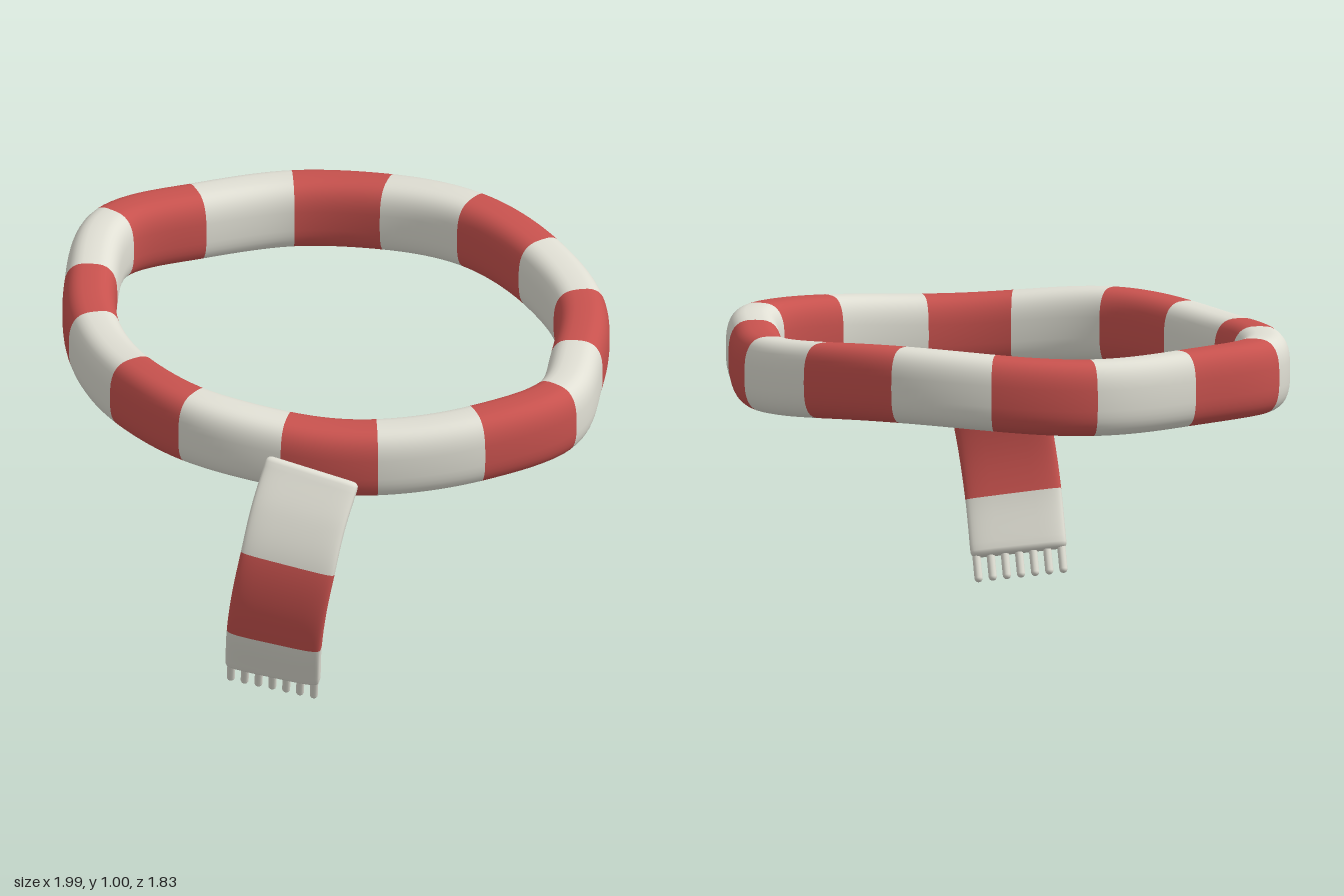
import * as THREE from 'three';

const red = new THREE.MeshStandardMaterial({ color: 0xc8524e });
red.name = 'red wool';
const cream = new THREE.MeshStandardMaterial({ color: 0xe0dfd4 });
cream.name = 'cream wool';

const V = (x, y, z) => new THREE.Vector3(x, y, z);
const UP = V(0, 1, 0);

// Superellipse cross-section swept through frames { p, s, u, a, b, mat }.
// Each frame's mat colours the band that starts there.
function sweep(frames, power, sides, closed) {
  const pos = [], index = [], geo = new THREE.BufferGeometry();
  const bend = v => Math.sign(v) * Math.abs(v) ** (2 / power);
  for (const { p, s, u, a, b } of frames) {
    for (let j = 0; j < sides; j++) {
      const phi = (j / sides) * Math.PI * 2;
      const v = p.clone()
        .addScaledVector(s, a * bend(Math.cos(phi)))
        .addScaledVector(u, b * bend(Math.sin(phi)));
      pos.push(v.x, v.y, v.z);
    }
  }
  const bands = closed ? frames.length : frames.length - 1;
  for (let i = 0; i < bands; i++) {
    const n = ((i + 1) % frames.length) * sides, m = i * sides;
    for (let j = 0; j < sides; j++) {
      const k = (j + 1) % sides;
      index.push(m + j, m + k, n + j, m + k, n + k, n + j);
    }
    geo.addGroup(i * sides * 6, sides * 6, frames[i].mat);
  }
  geo.setAttribute('position', new THREE.Float32BufferAttribute(pos, 3));
  geo.setIndex(index);
  geo.computeVertexNormals();
  return geo;
}

// Closed loop with sixteen alternating stripes, one between each pair of points
function makeLoop() {
  const plan = [
    [-0.02, -0.83], [0.305, -0.775], [0.58, -0.63], [0.775, -0.36],
    [0.902, -0.085], [0.8, 0.205], [0.585, 0.452], [0.335, 0.608],
    [0.02, 0.698], [-0.285, 0.632], [-0.58, 0.457], [-0.765, 0.245],
    [-0.91, -0.055], [-0.79, -0.345], [-0.6, -0.615], [-0.325, -0.768],
  ];
  const curve = new THREE.CatmullRomCurve3(plan.map(([x, z]) => V(x, 0, z)), true);
  const per = 12, total = plan.length * per, frames = [];
  for (let i = 0; i < total; i++) {
    const p = curve.getPoint(i / total), t = curve.getTangent(i / total);
    // gentle rise and fall around the loop
    const ang = Math.atan2(p.z, p.x);
    p.y = 0.86 + 0.013 * Math.cos(4 * ang) - 0.005 * Math.cos(2 * ang);
    const s = UP.clone().cross(t).normalize();
    frames.push({ p, s, u: UP, a: 0.088, b: 0.124, mat: Math.floor(i / per) % 2 });
  }
  const mesh = new THREE.Mesh(sweep(frames, 2.9, 40, true), [red, cream]);
  mesh.name = 'neckLoop';
  return mesh;
}

// Hanging end: flat curved strip with three bands, rounded ends and a fringe
function makeTail() {
  const group = new THREE.Group();
  group.name = 'hangingEnd';
  const curve = new THREE.CatmullRomCurve3([
    V(0.485, 0.848, 0.67), V(0.493, 0.72, 0.753), V(0.495, 0.582, 0.808),
    V(0.474, 0.43, 0.827), V(0.44, 0.275, 0.81), V(0.393, 0.11, 0.757),
  ]);
  const across = V(0.28, -0.045, -0.14).normalize();
  const halfW = 0.158, halfT = 0.028, round = 0.018, steps = 40, frames = [];
  const add = (t, out, inset, flat) => {
    const d = curve.getTangent(t);
    const s = across.clone().addScaledVector(d, -across.dot(d)).normalize();
    const u = d.clone().cross(s);
    const p = curve.getPoint(t).addScaledVector(d, out);
    const mat = t < 0.399 ? 1 : t < 0.799 ? 0 : 1;
    frames.push({ p, s, u, a: flat ? 0 : halfW - inset, b: flat ? 0 : halfT - inset, mat });
  };
  const cap = [0, 1, 2, 3].map(k => (k / 3) * Math.PI / 2);
  add(0, -round, 0, true);
  for (const q of [...cap].reverse()) add(0, -round * Math.sin(q), round * (1 - Math.cos(q)));
  for (let i = 1; i < steps; i++) add(i / steps, 0, 0);
  for (const q of cap) add(1, round * Math.sin(q), round * (1 - Math.cos(q)));
  add(1, round, 0, true);
  const strip = new THREE.Mesh(sweep(frames, 4.5, 40, false), [red, cream]);
  strip.name = 'strip';
  group.add(strip);

  // Seven tassels along the bottom edge
  const dir = curve.getTangent(1), base = curve.getPoint(1);
  const side = across.clone().addScaledVector(dir, -across.dot(dir)).normalize();
  const tassel = new THREE.CapsuleGeometry(0.0135, 0.085, 5, 12);
  for (let i = -3; i <= 3; i++) {
    const m = new THREE.Mesh(tassel, cream);
    m.name = 'tassel';
    m.position.copy(base).addScaledVector(side, i * 0.0465).addScaledVector(dir, 0.046);
    m.quaternion.setFromUnitVectors(UP, dir);
    group.add(m);
  }
  return group;
}

export function createModel() {
  const model = new THREE.Group();
  model.name = 'stripedScarf';
  model.add(makeLoop(), makeTail());
  return model;
}
